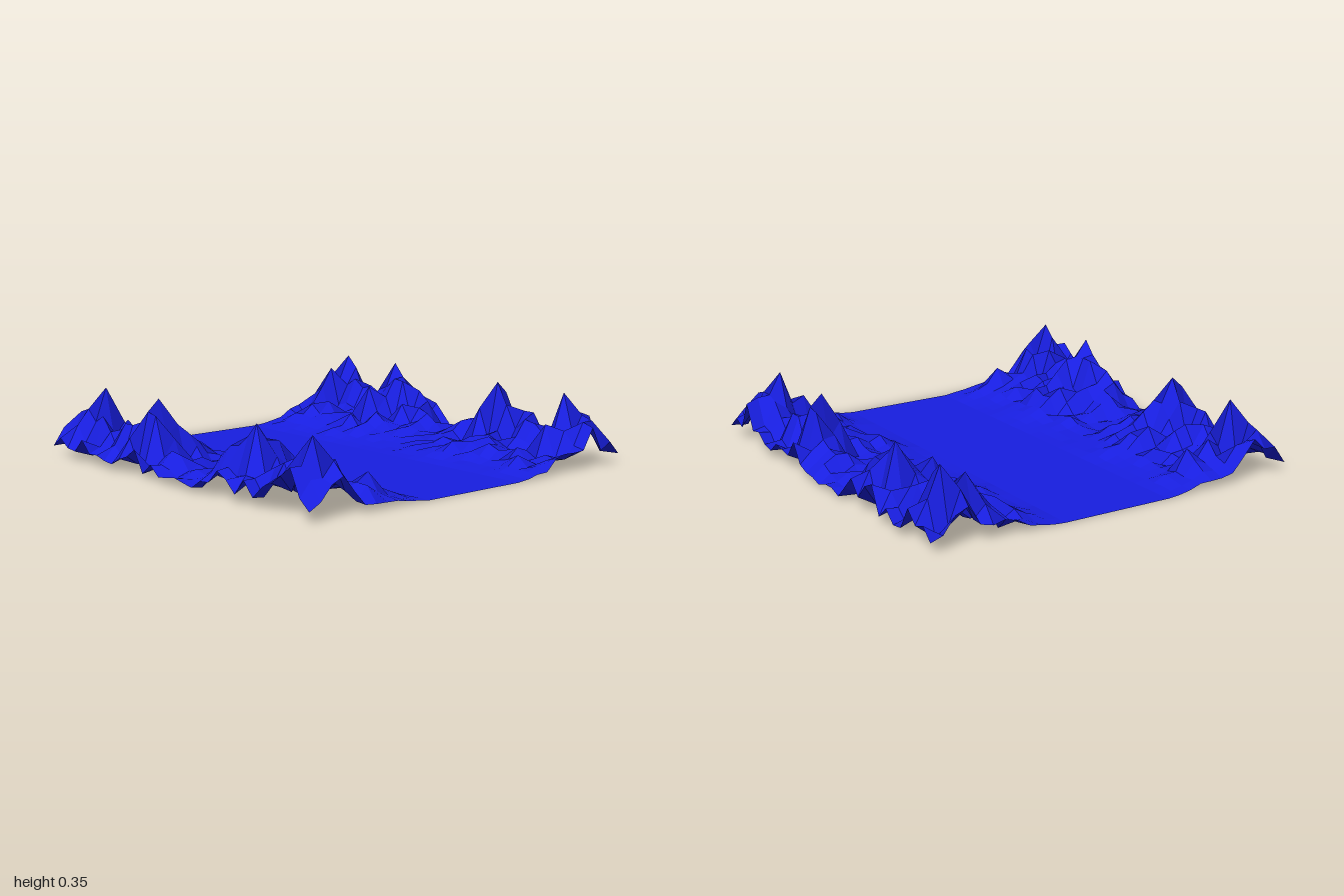
import * as THREE from 'three';

const CELLS = 31;

// Crest height of a mountain range, one value per grid column
const CREST = [
  0.18, 0.24, 0.35, 0.29, 0.24, 0.20, 0.17, 0.20, 0.35, 0.28, 0.27, 0.22, 0.17, 0.12, 0.08, 0.07,
  0.075, 0.12, 0.13, 0.17, 0.28, 0.35, 0.24, 0.21, 0.21, 0.17, 0.15, 0.22, 0.35, 0.24, 0.22, 0.20,
];
// Share of the crest height reached in each row, from the outer edge to the plain
const FALLOFF = [0.65, 0.75, 1, 1, 0.85, 0.72, 0.6, 0.45, 0.24, 0.13, 0.05];

// Small seeded generator
function seeded(seed) {
  let s = seed;
  return () => {
    s = (s * 1664525 + 1013904223) % 4294967296;
    return s / 4294967296;
  };
}

// Rugged height for a column and a row counted from the outer edge
function rangeHeight(column, row, random) {
  const r = random();
  if (row >= FALLOFF.length) return 0;
  const corner = row === 0 && (column === 0 || column === CELLS);
  if (corner) return 0.05;
  const crestRow = column === 2 ? 2 : column % 7 === 0 ? 3 : 2 + (column % 3 === 1 ? 1 : 0);
  // The foot of the range is smoother than its crest
  const rough = row === crestRow ? 1 : row > 7 ? 0.45 + 0.55 * r : 0.12 + 0.88 * r;
  return CREST[column] * FALLOFF[row] * rough;
}

// Give both triangles of each cell one shared flat normal
function flattenCells(geometry) {
  const flat = geometry.toNonIndexed();
  flat.computeVertexNormals();
  const normals = flat.attributes.normal;
  const a = new THREE.Vector3();
  const b = new THREE.Vector3();
  for (let i = 0; i < normals.count; i += 6) {
    a.fromBufferAttribute(normals, i);
    b.fromBufferAttribute(normals, i + 3);
    a.add(b).normalize();
    for (let k = 0; k < 6; k++) normals.setXYZ(i + k, a.x, a.y, a.z);
  }
  return flat;
}

export function createModel() {
  const group = new THREE.Group();
  group.name = 'valleyTerrain';

  const geometry = new THREE.PlaneGeometry(2, 2, CELLS, CELLS).rotateX(-Math.PI / 2);
  const position = geometry.attributes.position;
  const random = seeded(2024);
  const side = CELLS + 1;

  // Back range, and the front range as its half-turn with fresh roughness
  for (let row = 0; row < side / 2; row++) {
    for (let column = 0; column < side; column++) {
      const back = row * side + column;
      position.setY(back, rangeHeight(column, row, random));
      position.setY(position.count - 1 - back, rangeHeight(column, row, random));
    }
  }

  const terrain = new THREE.Mesh(
    flattenCells(geometry),
    new THREE.MeshStandardMaterial({ color: 0x181ee0, side: THREE.DoubleSide })
  );
  terrain.name = 'terrain';
  group.add(terrain);
  return group;
}
